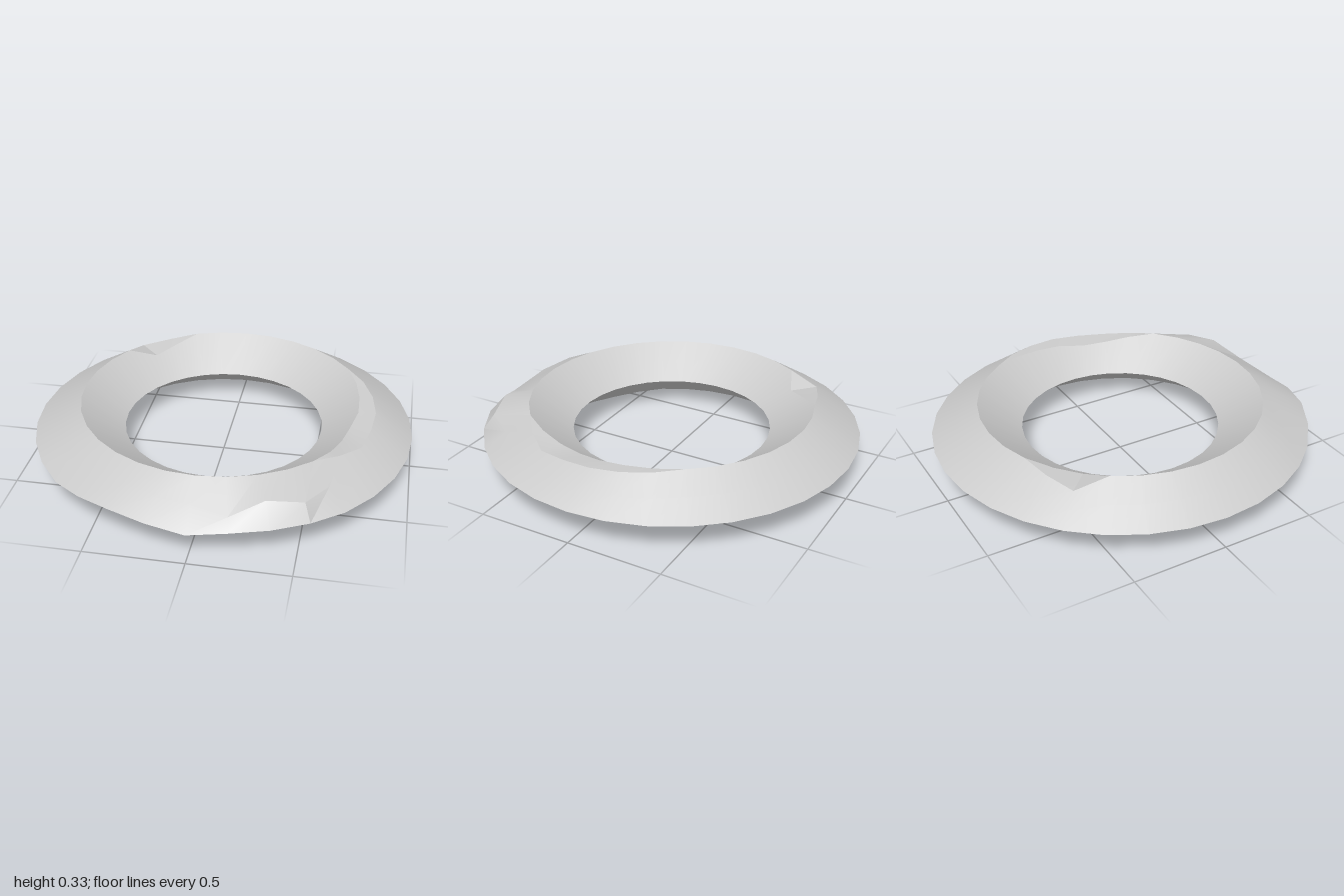
import * as THREE from 'three';
import { toCreasedNormals } from 'three/addons/utils/BufferGeometryUtils.js';

const SEGMENTS = 32;

// Hand-worn spots, keyed by segment: [radius, height]
const ridgeOuter = {
  3: [0.78, 0.305], 2: [0.81, 0.285], 1: [0.8, 0.295], 0: [0.8, 0.305], 31: [0.79, 0.312], 30: [0.775, 0.32],
  20: [0.83, 0.278], 21: [0.785, 0.3],
};
const ridgeInner = {
  3: [0.725, 0.305], 2: [0.7, 0.287], 1: [0.69, 0.283], 0: [0.71, 0.3], 31: [0.72, 0.31], 30: [0.735, 0.318],
  20: [0.68, 0.275], 21: [0.71, 0.295],
};
const shoulderBump = { 7: [0.93, 0.225], 6: [0.906, 0.287], 5: [0.94, 0.26] };
const rimHeight = { 5: 0.18, 6: 0.185, 7: 0.175, 8: 0.163, 9: 0.19, 10: 0.205, 11: 0.19, 12: 0.167 };
const bottomHeight = { 10: 0.005, 11: 0, 12: 0.006 };

// Diamond cross-section at one segment, from the rim over the top and round
function section(k) {
  const rim = [k === 7 ? 0.985 : 0.998, rimHeight[k] ?? 0.172];
  const ridge = [0.752, 0.326];
  const outer = ridgeOuter[k] ?? ridge;
  const inner = ridgeInner[k] ?? ridge;
  const shoulder = shoulderBump[k] ?? [(rim[0] + outer[0]) / 2, (rim[1] + outer[1]) / 2];
  return [rim, shoulder, outer, inner, [0.525, 0.17], [0.748, bottomHeight[k] ?? 0.014]];
}

function ringGeometry() {
  const point = (k, j) => {
    const seg = k % SEGMENTS;
    const angle = (seg / SEGMENTS) * Math.PI * 2;
    const [r, y] = section(seg)[j % 6];
    return new THREE.Vector3(r * Math.cos(angle), y, r * Math.sin(angle));
  };
  const positions = [];
  const addTriangle = (a, b, c) => {
    // Skip faces that collapse where the ridge is sharp
    if (new THREE.Triangle(a, b, c).getArea() < 1e-6) return;
    for (const p of [a, b, c]) positions.push(p.x, p.y, p.z);
  };
  for (let k = 0; k < SEGMENTS; k++) {
    for (let j = 0; j < 6; j++) {
      const a = point(k, j), b = point(k, j + 1);
      const c = point(k + 1, j), d = point(k + 1, j + 1);
      addTriangle(a, b, c);
      addTriangle(b, d, c);
    }
  }
  const geometry = new THREE.BufferGeometry();
  geometry.setAttribute('position', new THREE.Float32BufferAttribute(positions, 3));
  return toCreasedNormals(geometry, 0.45);
}

export function createModel() {
  const group = new THREE.Group();
  group.name = 'wornRing';
  const stone = new THREE.MeshStandardMaterial({ color: 0xcccccc });
  stone.name = 'light grey';
  const ring = new THREE.Mesh(ringGeometry(), stone);
  ring.name = 'ring';
  group.add(ring);
  return group;
}
